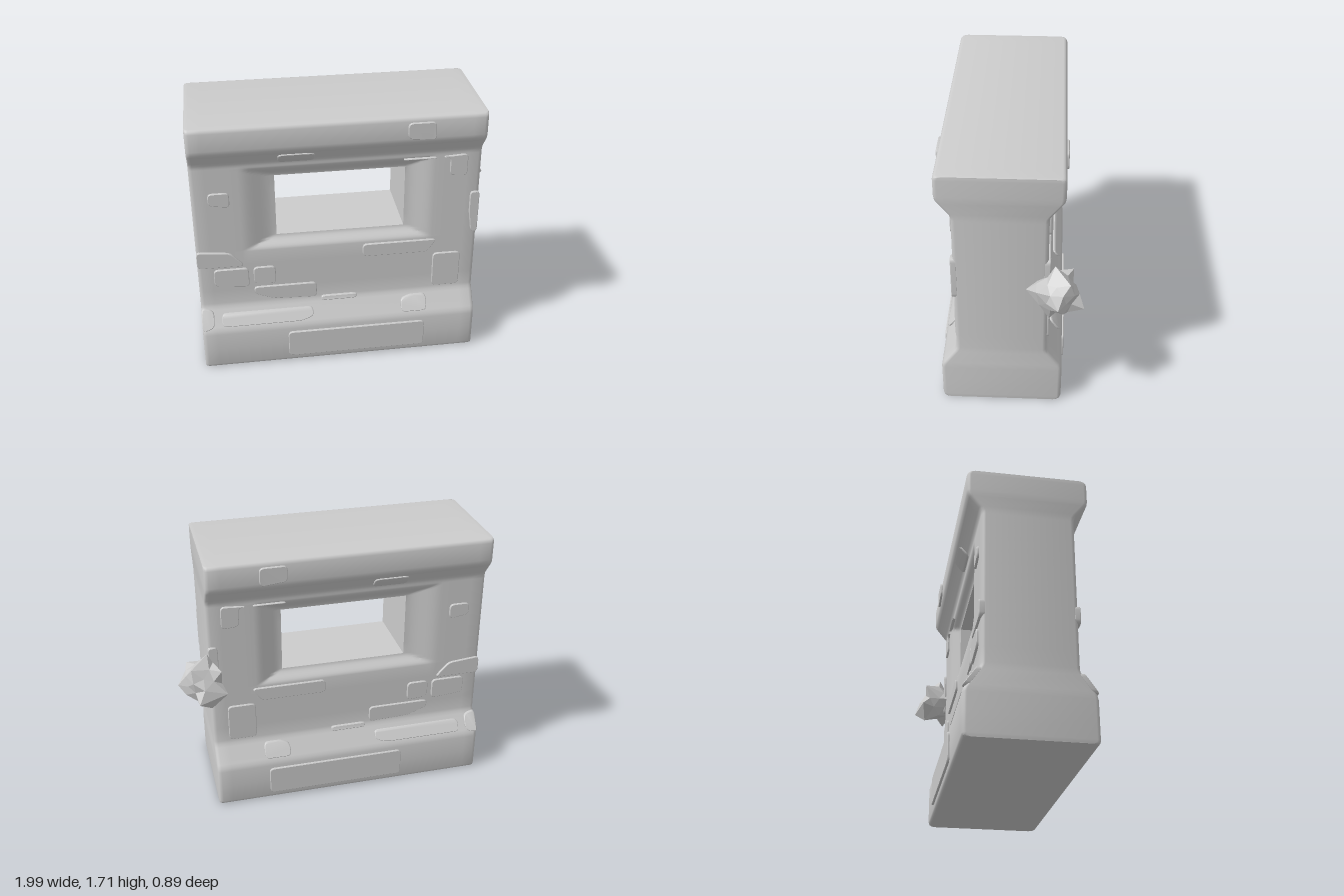
import * as THREE from 'three';
import { toCreasedNormals } from 'three/addons/utils/BufferGeometryUtils.js';

const X0 = -1, X1 = 0.79, TOP = 1.71, MID_Z = 0.05, ROUND = 0.025;
const HOLE = { x0: -0.49, x1: 0.32, y0: 0.9, y1: 1.32 };

// half thickness of the wall against height: [y, half thickness]
const PROFILE = [[0, 0.38], [0.26, 0.38], [0.285, 0.374], [0.305, 0.362], [0.4, 0.296], [0.42, 0.285],
  [0.44, 0.28], [1.42, 0.28], [1.44, 0.284], [1.46, 0.296], [1.53, 0.352], [1.55, 0.366], [1.575, 0.37], [TOP, 0.37]];

function profile(y) {
  for (let i = 1; i < PROFILE.length; i++) {
    const [ya, ha] = PROFILE[i - 1], [yb, hb] = PROFILE[i];
    if (y <= yb) return ha + (hb - ha) * (y - ya) / (yb - ya);
  }
  return 0.37;
}

const edgeDrop = d => d >= ROUND ? 0 : ROUND - Math.sqrt(Math.max(0, ROUND ** 2 - (ROUND - d) ** 2));

// half thickness with rounded outer edges and the flared window surround
function halfDepth(x, y) {
  const dx = Math.max((HOLE.x0 - x) / 0.22, (x - HOLE.x1) / 0.18, 0);
  const dy = Math.max((HOLE.y0 - y) / 0.08, (y - HOLE.y1) / 0.09, 0);
  const t = 1 - Math.min(1, Math.max(dx, dy));
  const flare = 0.05 * t * t * (3 - 2 * t);
  return profile(y) - flare - edgeDrop(Math.min(x - X0, X1 - x)) - edgeDrop(Math.min(y, TOP - y));
}

// grid lines: stops with a number of steps up to each
function axis(start, spans) {
  const out = [start];
  for (const [end, n] of spans) {
    const from = out[out.length - 1];
    for (let i = 1; i <= n; i++) out.push(from + (end - from) * i / n);
  }
  return out;
}

function wallGeometry() {
  const xs = axis(X0, [[-0.997, 1], [-0.99, 1], [-0.975, 1], [-0.71, 4], [HOLE.x0, 10], [HOLE.x1, 6],
    [0.5, 10], [0.765, 4], [0.78, 1], [0.787, 1], [X1, 1]]);
  const ys = axis(0, [[0.003, 1], [0.01, 1], [0.025, 1], [0.26, 2], [0.285, 1], [0.305, 1], [0.4, 1],
    [0.42, 1], [0.44, 1], [0.82, 4], [HOLE.y0, 8], [HOLE.y1, 5], [1.41, 8], [1.42, 1], [1.44, 1], [1.46, 1],
    [1.53, 1], [1.55, 1], [1.575, 1], [1.685, 1], [1.7, 1], [1.707, 1], [TOP, 1]]);
  const pos = [];
  const P = (x, y, side) => [x, y, MID_Z + side * halfDepth(x, y)];
  const quad = (a, b, c, d) => pos.push(...a, ...b, ...c, ...a, ...c, ...d);
  const acrossX = (x, ya, yb) => quad(P(x, ya, 1), P(x, ya, -1), P(x, yb, -1), P(x, yb, 1));
  const acrossY = (y, xa, xb) => quad(P(xa, y, 1), P(xb, y, 1), P(xb, y, -1), P(xa, y, -1));
  const e = 1e-6;
  const inX = x => x > HOLE.x0 && x < HOLE.x1, inY = y => y > HOLE.y0 && y < HOLE.y1;

  // front and back faces around the opening
  for (let i = 0; i + 1 < xs.length; i++) for (let j = 0; j + 1 < ys.length; j++) {
    const a = xs[i], b = xs[i + 1], c = ys[j], d = ys[j + 1];
    if (inX((a + b) / 2) && inY((c + d) / 2)) continue;
    quad(P(a, c, 1), P(b, c, 1), P(b, d, 1), P(a, d, 1));
    quad(P(b, c, -1), P(a, c, -1), P(a, d, -1), P(b, d, -1));
  }
  // ends and the two sides of the opening
  for (let j = 0; j + 1 < ys.length; j++) {
    const c = ys[j], d = ys[j + 1];
    acrossX(X1, c, d);
    acrossX(X0, d, c);
    if (inY((c + d) / 2)) { acrossX(HOLE.x0, c, d); acrossX(HOLE.x1, d, c); }
  }
  // top, underside, sill and lintel
  for (let i = 0; i + 1 < xs.length; i++) {
    const a = xs[i], b = xs[i + 1];
    acrossY(TOP, a, b);
    acrossY(0, b, a);
    if (inX((a + b) / 2)) { acrossY(HOLE.y0, a, b); acrossY(HOLE.y1, b, a); }
  }
  const g = new THREE.BufferGeometry();
  g.setAttribute('position', new THREE.Float32BufferAttribute(pos, 3));
  return toCreasedNormals(g, 0.75 + e);
}

// outlines of the stones set into each face
const STONES = [
  [[0.3, 1.68], [0.47, 1.68], [0.47, 1.56], [0.3, 1.58]],
  [[-0.47, 1.44], [-0.25, 1.44], [-0.25, 1.51], [-0.47, 1.51]],
  [[0.54, 1.4], [0.7, 1.41], [0.7, 1.26], [0.59, 1.27], [0.59, 1.39]],
  [[-0.9, 1.25], [-0.77, 1.25], [-0.77, 1.15], [-0.9, 1.17]],
  [[-1, 0.84], [-0.79, 0.82], [-0.7, 0.72], [-1, 0.72]],
  [[-0.9, 0.7], [-0.68, 0.7], [-0.68, 0.56], [-0.9, 0.58]],
  [[-0.65, 0.7], [-0.51, 0.7], [-0.51, 0.57], [-0.65, 0.58]],
  [[-0.65, 0.55], [-0.25, 0.55], [-0.25, 0.44], [-0.52, 0.45], [-0.65, 0.5]],
  [[0.05, 0.81], [0.53, 0.81], [0.47, 0.72], [0.05, 0.72]],
  [[0.51, 0.7], [0.69, 0.7], [0.69, 0.45], [0.51, 0.45]],
  [[-0.22, 0.41], [0.01, 0.41], [0.01, 0.44], [-0.22, 0.44]],
  [[-0.87, 0.38], [-0.28, 0.38], [-0.28, 0.33], [-0.36, 0.31], [-0.87, 0.31]],
  [[0.3, 0.38], [0.36, 0.4], [0.47, 0.4], [0.47, 0.31], [0.3, 0.31]],
  [[-1, 0.42], [-0.92, 0.4], [-0.92, 0.31], [-1, 0.29]],
  [[-0.45, 0.24], [0.45, 0.24], [0.45, 0.05], [-0.45, 0.05]],
  [[0.73, 1.14], [0.79, 1.14], [0.79, 0.85], [0.75, 0.85], [0.73, 1.0]],
  [[0.3, 1.39], [0.3, 1.4], [0.5, 1.4], [0.5, 1.39]],
];

function roundedShape(points, radius) {
  const v = points.map(p => new THREE.Vector2(...p)), n = v.length, s = new THREE.Shape();
  v.forEach((p, i) => {
    const toward = q => p.clone().add(q.clone().sub(p).setLength(Math.min(radius, p.distanceTo(q) * 0.35)));
    const a = toward(v[(i + n - 1) % n]), b = toward(v[(i + 1) % n]);
    if (i === 0) s.moveTo(a.x, a.y); else s.lineTo(a.x, a.y);
    s.quadraticCurveTo(p.x, p.y, b.x, b.y);
  });
  s.closePath();
  return s;
}

// thin stone that leans with the wall profile; side -1 places it on the back
function stoneGeometry(points, side) {
  const shape = roundedShape(points.map(([x, y]) => [x * side, y]), 0.03);
  const g = new THREE.ExtrudeGeometry(shape, { depth: 0.03, curveSegments: 4, bevelEnabled: true,
    bevelThickness: 0.004, bevelSize: 0.004, bevelOffset: -0.004, bevelSegments: 1 });
  const p = g.attributes.position;
  for (let i = 0; i < p.count; i++) p.setZ(i, p.getZ(i) - 0.02 + profile(p.getY(i)));
  if (side < 0) g.rotateY(Math.PI);
  g.translate(0, 0, MID_Z);
  return toCreasedNormals(g, 0.5);
}

// jagged rock: the vertex nearest each tip is pulled out to it
function rockGeometry() {
  const centre = new THREE.Vector3(0.84, 0.95, -0.28);
  const tips = [[0.88, 0.87, -0.445], [0.8, 1.12, -0.27], [0.8, 0.94, -0.1], [0.91, 1.07, -0.36],
    [0.88, 0.79, -0.24], [0.99, 0.94, -0.29], [0.7, 0.9, -0.4], [0.8, 0.8, -0.38],
    [0.92, 1.02, -0.16], [0.73, 1.05, -0.38]].map(t => new THREE.Vector3(...t));
  const g = new THREE.IcosahedronGeometry(1, 1), p = g.attributes.position, v = new THREE.Vector3();
  const nearest = tips.map(t => {
    const dir = t.clone().sub(centre).normalize(), best = new THREE.Vector3();
    let score = -1;
    for (let i = 0; i < p.count; i++) {
      v.fromBufferAttribute(p, i);
      if (v.dot(dir) > score + 1e-5) { score = v.dot(dir); best.copy(v); }
    }
    return best;
  });
  for (let i = 0; i < p.count; i++) {
    v.fromBufferAttribute(p, i);
    const k = nearest.findIndex(q => q.distanceTo(v) < 1e-3);
    if (k >= 0) v.copy(tips[k]);
    else v.multiplyScalar(0.122 + 0.014 * Math.sin(9 * v.x + 7 * v.y + 5 * v.z)).add(centre);
    p.setXYZ(i, v.x, v.y, v.z);
  }
  g.computeVertexNormals();
  return g;
}

export function createModel() {
  const model = new THREE.Group();
  model.name = 'stoneWallWithWindow';
  const stone = new THREE.MeshStandardMaterial({ color: 0xcccccc });
  stone.name = 'greyStone';
  const add = (parent, name, geometry) => {
    const mesh = new THREE.Mesh(geometry, stone);
    mesh.name = name;
    parent.add(mesh);
  };

  add(model, 'wall', wallGeometry());
  for (const [name, side] of [['frontStones', 1], ['backStones', -1]]) {
    const group = new THREE.Group();
    group.name = name;
    STONES.forEach((s, i) => add(group, 'stone' + (i + 1), stoneGeometry(s, side)));
    model.add(group);
  }
  add(model, 'jaggedRock', rockGeometry());
  return model;
}
